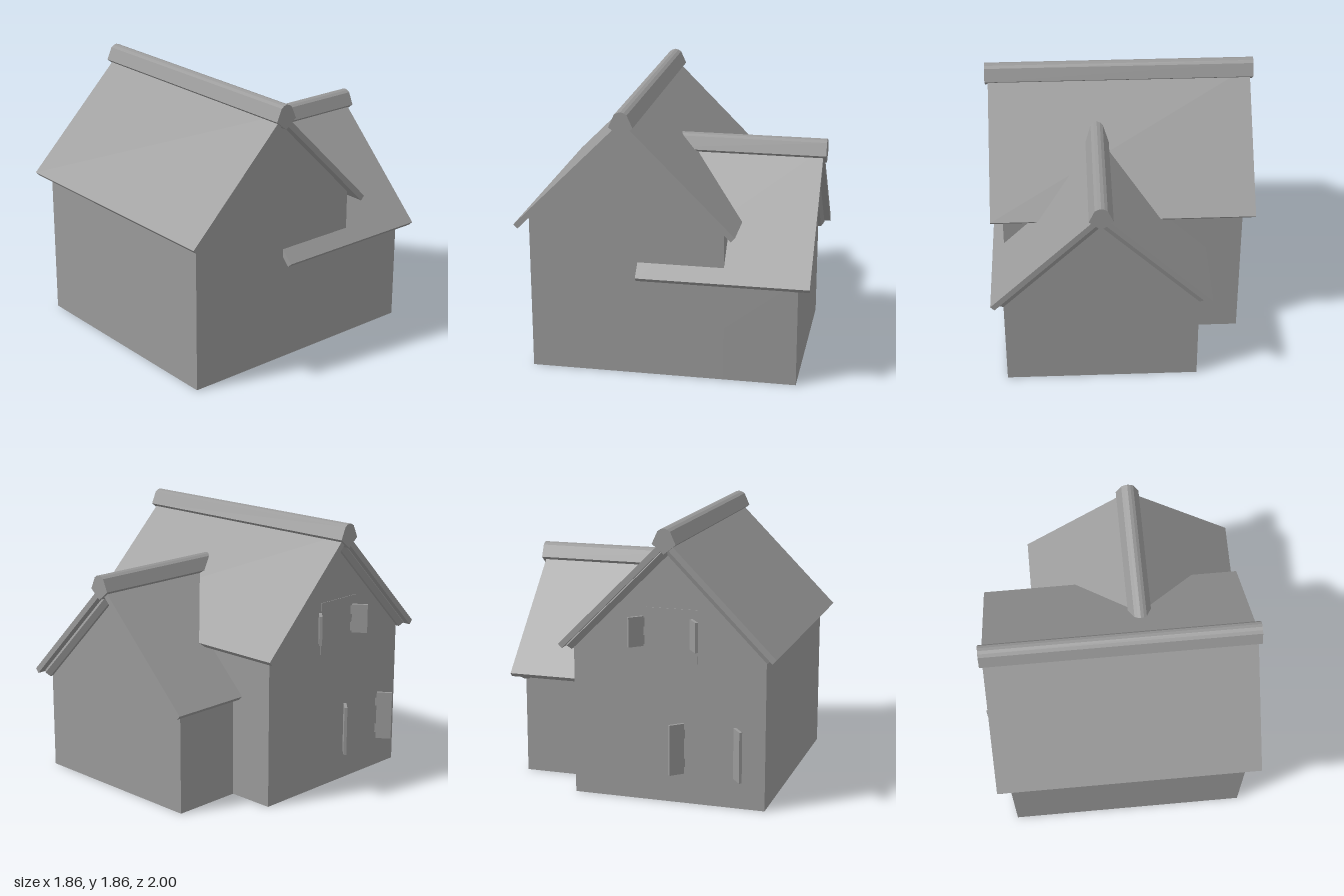
import * as THREE from 'three';

const material = new THREE.MeshStandardMaterial({ color: 0x999999, flatShading: true, side: THREE.DoubleSide });

function add(parent, name, geometry) {
  const mesh = new THREE.Mesh(geometry, material);
  mesh.name = name;
  parent.add(mesh);
  return mesh;
}

const polygon = (points) => new THREE.Shape(points.map(([x, y]) => new THREE.Vector2(x, y)));

// Extrude an x-y outline between two z positions
function prism(points, z0, z1) {
  const g = new THREE.ExtrudeGeometry(polygon(points), { depth: z1 - z0, bevelEnabled: false });
  return g.translate(0, 0, z0);
}

// Gabled block whose ridge runs along z; apex is the height where the roof undersides meet
function gabledBlock(name, apex, walls, roof, ridge, trimDrop) {
  const block = new THREE.Group();
  block.name = name;
  const half = 0.66, eave = apex - half;

  // Walls, open at the bottom
  const gable = [[-half, 0], [half, 0], [half, eave], [0, apex], [-half, eave]];
  for (const z of walls) {
    add(block, 'gableWall', new THREE.ShapeGeometry(polygon(gable))).position.z = z;
  }
  for (const s of [-1, 1]) {
    const side = add(block, 'sideWall', new THREE.PlaneGeometry(walls[1] - walls[0], eave));
    side.rotation.y = s * Math.PI / 2;
    side.position.set(s * half, eave / 2, (walls[0] + walls[1]) / 2);
  }

  // Roof slabs with square-cut eaves, and a trim pole under each slope
  const slab = [[0, apex], [0.716, apex - 0.716], [0.743, apex - 0.688], [0, apex + 0.055]];
  for (const s of [-1, 1]) {
    add(block, 'roofSlab', prism(slab.map(([x, y]) => [s * x, y]), roof[0], roof[1]));
    const pole = add(block, 'gableTrim', new THREE.CylinderGeometry(0.043, 0.043, 0.99, 6));
    pole.rotation.z = s * Math.PI / 4;
    pole.position.set(s * (0.35 - trimDrop), apex - 0.35 - trimDrop, walls[0]);
  }

  // Ridge cap with a softly rounded top
  const cap = [[0, 0.123], [-0.022, 0.117], [-0.042, 0.104], [-0.08, 0.02], [0, -0.045],
    [0.08, 0.02], [0.042, 0.104], [0.022, 0.117]];
  add(block, 'ridgeCap', prism(cap.map(([x, y]) => [x, apex + y]), ridge[0], ridge[1]));
  return block;
}

// Pair of open shutters on the -x wall, splayed away from the window
function shutters(parent, z0, z1, y0, y1) {
  const pair = new THREE.Group();
  pair.name = 'shutters';
  for (const [z, turn] of [[z0, -0.8], [z1, 0.62]]) {
    const shutter = new THREE.Group();
    shutter.name = 'shutter';
    const h = y1 - y0;
    add(shutter, 'shutterPanel', new THREE.BoxGeometry(0.108, h, 0.02)).position.x = -0.062;
    for (const t of [-1, 1]) {
      add(shutter, 'hinge', new THREE.BoxGeometry(0.016, 0.06, 0.01)).position.set(-0.006, t * h * 0.29, 0);
    }
    shutter.position.set(-0.829, (y0 + y1) / 2, z);
    shutter.rotation.y = turn;
    pair.add(shutter);
  }
  parent.add(pair);
}

export function createModel() {
  const house = new THREE.Group();
  house.name = 'house';

  // Main block, ridge along x
  const main = gabledBlock('mainBlock', 1.735, [-0.825, 0.825], [-0.906, 0.906], [-0.927, 0.927], 0.005);
  main.rotation.y = Math.PI / 2;
  main.position.z = 0.258;
  house.add(main);

  // Lower rear wing, ridge along z, running into the main block
  const wing = gabledBlock('rearWing', 1.41, [-0.895, 0.09], [-0.978, 0.18], [-1, 0.18], 0.015);
  wing.position.x = 0.165;
  house.add(wing);

  // Windows on the -x gable
  add(house, 'upperWindow', new THREE.BoxGeometry(0.008, 0.36, 0.35)).position.set(-0.825, 1.14, 0.28);
  shutters(house, 0.09, 0.41, 1.06, 1.26);
  shutters(house, 0.37, 0.71, 0.21, 0.555);

  return house;
}
